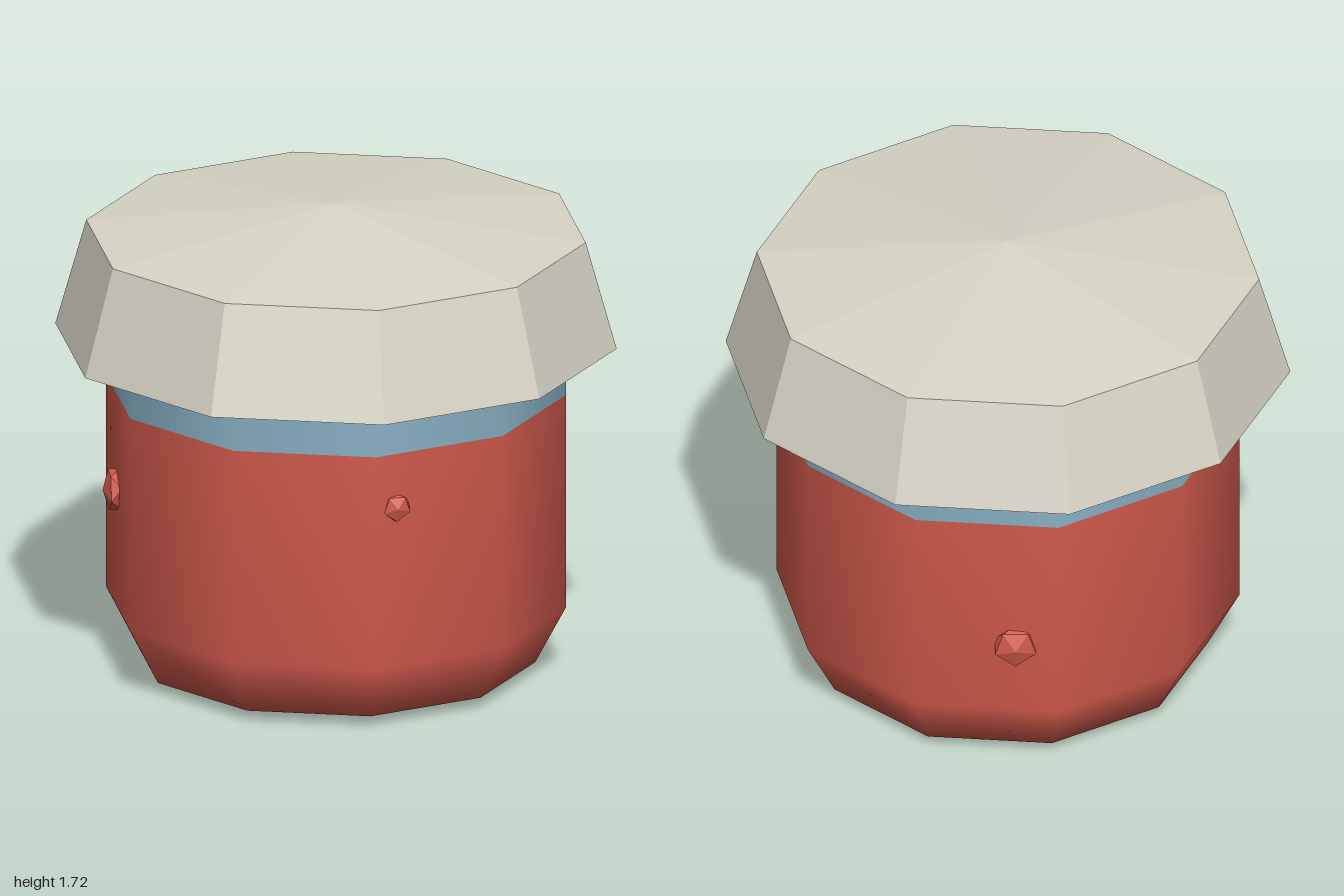
import * as THREE from 'three';

const SIDES = 10;

const red = new THREE.MeshStandardMaterial({ color: 0xd25a4c });
red.name = 'red clay';
const blue = new THREE.MeshStandardMaterial({ color: 0x88b0c4 });
blue.name = 'blue glaze';
const cream = new THREE.MeshStandardMaterial({ color: 0xd8d4c7 });
cream.name = 'cream lid';

// Ten-sided turned shape with corners on the x axis
function turned(name, profile, material, faceted = false) {
  const points = profile.map(([r, y]) => new THREE.Vector2(r, y));
  let geometry = new THREE.LatheGeometry(points, SIDES, Math.PI / 2);
  if (faceted) {
    geometry = geometry.toNonIndexed();
    geometry.computeVertexNormals();
  }
  const mesh = new THREE.Mesh(geometry, material);
  mesh.name = name;
  return mesh;
}

// Small flattened faceted lump, one point facing outwards
function lump(x, y, z, radius) {
  const geometry = new THREE.IcosahedronGeometry(radius, 0);
  geometry.rotateX(Math.atan(2 / (1 + Math.sqrt(5))));
  geometry.scale(1, 1, 0.5);
  const mesh = new THREE.Mesh(geometry, red);
  mesh.name = 'lump';
  mesh.position.set(x, y, z);
  mesh.lookAt(x * 2, y, z * 2);
  return mesh;
}

export function createModel() {
  const model = new THREE.Group();
  model.name = 'liddedJar';

  // Body with a bevelled foot and a shallow pointed base
  model.add(turned('body', [[0, 0], [0.71, 0.04], [0.82, 0.25], [0.82, 1.04]], red));

  // Neck band, closed under the lid
  model.add(turned('neckBand', [[0.82, 1.04], [0.82, 1.45]], blue));
  model.add(turned('neckTop', [[0.82, 1.45], [0, 1.45]], blue));

  // Hollow lid: ceiling, inner wall, rim, outer wall, low peak
  model.add(turned('lid', [
    [0, 1.6], [0.85, 1.56], [0.95, 1.22], [1, 1.22], [0.89, 1.61], [0, 1.715],
  ], cream, true));

  // Lumps on the wall
  const lumps = new THREE.Group();
  lumps.name = 'lumps';
  lumps.add(
    lump(0.32, 0.84, 0.73, 0.055),
    lump(-0.76, 0.68, 0.2, 0.085),
    lump(-0.1, 0.52, -0.775, 0.085),
  );
  model.add(lumps);

  return model;
}
